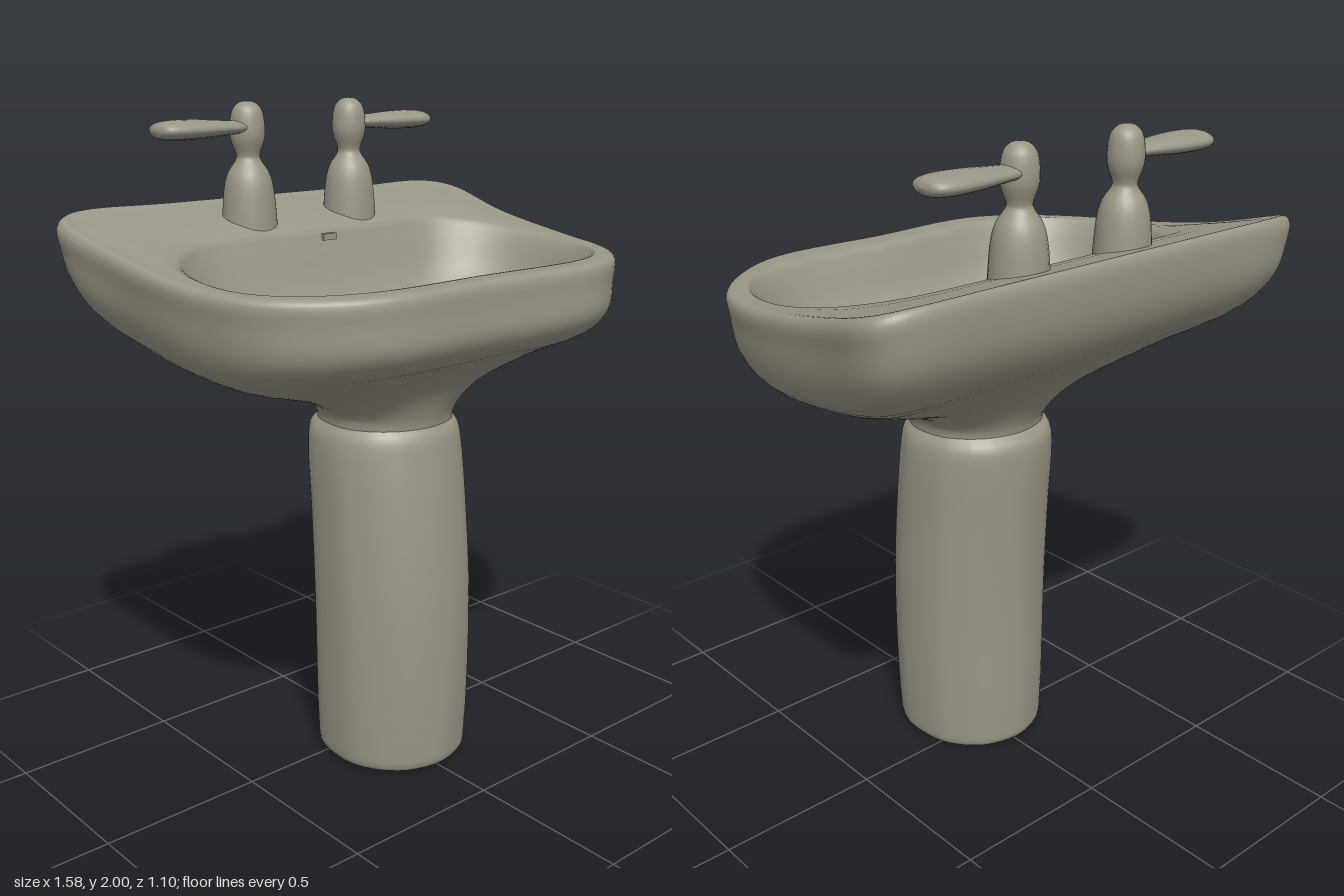
import * as THREE from 'three';

const ceramic = new THREE.MeshStandardMaterial({ color: 0x9a9685 });
ceramic.name = 'stone ceramic';

// Half outlines from back centre to front centre, scaled to -1..1
const OUTER = [[0, -1], [0.5, -1], [0.89, -1], [1, -0.89], [0.985, -0.4], [0.96, 0.19], [0.89, 0.56], [0.74, 0.82], [0.5, 1], [0, 1]];
const BOWL = [[0, -1], [0.4, -1], [0.7, -0.96], [0.87, -0.74], [0.97, -0.4], [1, 0], [0.97, 0.42], [0.86, 0.76], [0.62, 1], [0, 1]];

// One cross-section; k blends the outline towards an ellipse, y follows back / middle / front heights
function ring(outline, k, hx, zb, zf, yb, ym = yb, yf = yb) {
  const half = outline.map(([u, v]) => {
    const l = Math.hypot(u, v);
    u += (u / l - u) * k;
    v += (v / l - v) * k;
    const y = ym + (yf - yb) / 2 * v + ((yf + yb) / 2 - ym) * v * v;
    return new THREE.Vector3(hx * u, y, (zb + zf) / 2 + (zf - zb) / 2 * v);
  });
  const mirrored = half.slice(1, -1).reverse().map(p => new THREE.Vector3(-p.x, p.y, p.z));
  return new THREE.CatmullRomCurve3([...half, ...mirrored], true).getPoints(90).slice(0, 90);
}

// Smooth skin over a stack of rings
function loft(rings, sub = 4) {
  const n = rings[0].length, rows = (rings.length - 1) * sub + 1;
  const columns = rings[0].map((_, j) => new THREE.CatmullRomCurve3(rings.map(r => r[j])).getPoints(rows - 1));
  const pos = [], idx = [];
  for (let r = 0; r < rows; r++) {
    for (let j = 0; j < n; j++) {
      pos.push(...columns[j][r].toArray());
      if (r === rows - 1) continue;
      const a = r * n + j, b = r * n + (j + 1) % n;
      idx.push(a, a + n, b, b, a + n, b + n);
    }
  }
  const g = new THREE.BufferGeometry();
  g.setAttribute('position', new THREE.Float32BufferAttribute(pos, 3));
  g.setIndex(idx);
  g.computeVertexNormals();
  return g;
}

function lathe(points, segments = 24) {
  const curve = new THREE.SplineCurve(points.map(p => new THREE.Vector2(...p)));
  const smooth = curve.getPoints(points.length * 3).map(p => p.setX(Math.max(0, p.x)));
  return new THREE.LatheGeometry(smooth, segments);
}

function add(parent, name, geometry) {
  const mesh = new THREE.Mesh(geometry, ceramic);
  mesh.name = name;
  parent.add(mesh);
  return mesh;
}

export function createModel() {
  const model = new THREE.Group();
  model.name = 'pedestalSink';

  // Gently bent column with a closed foot
  add(model, 'pedestal', loft([
    [0.002, 0.078, 0.082, 0], [0.2, -0.13, 0.285, 0], [0.222, -0.157, 0.312, 0.012],
    [0.23, -0.163, 0.32, 0.07], [0.24, -0.165, 0.325, 0.5], [0.238, -0.178, 0.303, 0.8],
    [0.235, -0.19, 0.277, 1.0], [0.225, -0.185, 0.265, 1.06], [0.2, -0.155, 0.24, 1.095],
  ].map(([hx, zb, zf, y]) => ring(OUTER, 1, hx, zb, zf, y))));

  // Basin: neck, flared underside, skirt, rim, then down into the bowl
  add(model, 'basin', loft([
    ring(OUTER, 1, 0.205, -0.155, 0.245, 1.07),
    ring(OUTER, 1, 0.215, -0.165, 0.255, 1.12),
    ring(OUTER, 0.9, 0.31, -0.22, 0.3, 1.21, 1.175, 1.21),
    ring(OUTER, 0.5, 0.57, -0.32, 0.39, 1.31, 1.255, 1.29),
    ring(OUTER, 0.1, 0.71, -0.47, 0.495, 1.43, 1.335, 1.35),
    ring(OUTER, 0, 0.75, -0.525, 0.535, 1.53, 1.41, 1.41),
    ring(OUTER, 0, 0.77, -0.54, 0.535, 1.62, 1.5, 1.49),
    ring(OUTER, 0, 0.78, -0.54, 0.532, 1.675, 1.56, 1.545),
    ring(OUTER, 0, 0.768, -0.528, 0.52, 1.698, 1.58, 1.56),
    ring(OUTER, 0, 0.73, -0.485, 0.485, 1.685, 1.58, 1.562),
    ring(BOWL, 0, 0.665, -0.262, 0.435, 1.62, 1.565, 1.555),
    ring(BOWL, 0, 0.64, -0.24, 0.415, 1.575, 1.53, 1.515),
    ring(BOWL, 0.1, 0.58, -0.19, 0.37, 1.43, 1.41, 1.4),
    ring(BOWL, 0.4, 0.42, -0.11, 0.28, 1.32),
    ring(BOWL, 1, 0.2, -0.02, 0.17, 1.285),
    ring(BOWL, 1, 0.002, 0.074, 0.078, 1.28),
  ]));

  // Small overflow lip on the bowl's back wall
  add(model, 'overflowLip', new THREE.BoxGeometry(0.05, 0.02, 0.02)).position.set(0.02, 1.59, -0.245);

  // Mirrored taps with flat paddle levers
  const bodyShape = lathe([[0.086, 0], [0.083, 0.06], [0.076, 0.14], [0.063, 0.19], [0.04, 0.225], [0.036, 0.245],
    [0.05, 0.285], [0.053, 0.32], [0.046, 0.37], [0.025, 0.395], [0, 0.4]]);
  const leverShape = lathe([[0.03, 0], [0.045, 0.04], [0.055, 0.1], [0.066, 0.17], [0.07, 0.24], [0.063, 0.29],
    [0.042, 0.315], [0, 0.323]]);
  leverShape.rotateZ(-Math.PI / 2).scale(1, 0.42, 1);
  for (const side of [1, -1]) {
    const tap = new THREE.Group();
    tap.name = side > 0 ? 'leftTap' : 'rightTap';
    tap.position.set(side * 0.197, 1.6, -0.355);
    if (side < 0) tap.rotation.y = Math.PI;
    add(tap, 'tapBody', bodyShape);
    add(tap, 'tapLever', leverShape).position.y = 0.325;
    model.add(tap);
  }
  return model;
}
